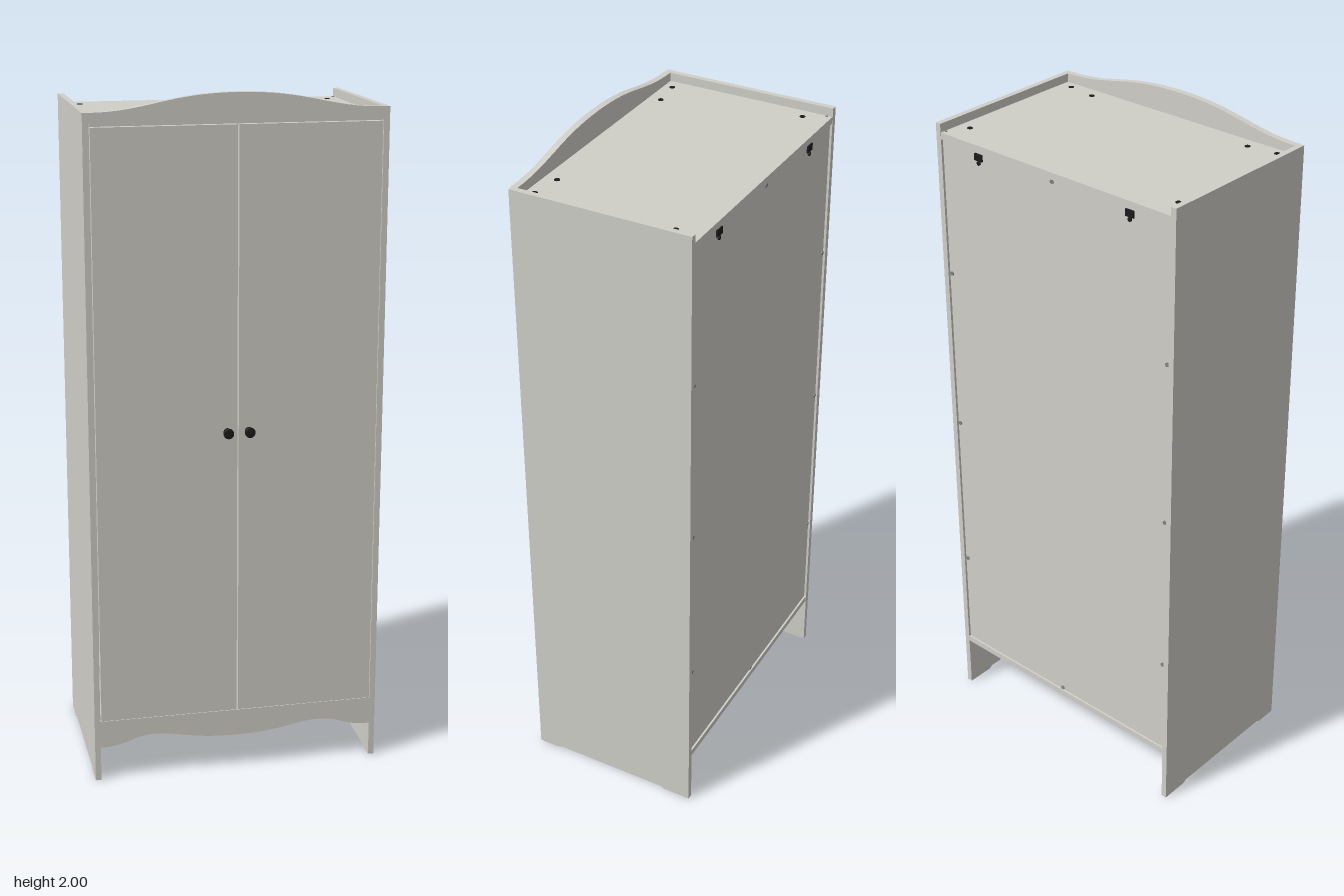
import * as THREE from 'three';

export function createModel() {
  const group = new THREE.Group();
  const body = new THREE.MeshStandardMaterial({ color: 0xd0cfc8 });
  body.name = 'painted wood';
  const dark = new THREE.MeshStandardMaterial({ color: 0x1c1c1c });
  dark.name = 'black fittings';
  const steel = new THREE.MeshStandardMaterial({ color: 0x85847f });
  steel.name = 'grey screws';

  const add = (name, geometry, material, x = 0, y = 0, z = 0) => {
    const mesh = new THREE.Mesh(geometry, material);
    mesh.name = name;
    mesh.position.set(x, y, z);
    group.add(mesh);
    return mesh;
  };
  // Box given by its minimum and maximum corners
  const panel = (name, a, b, material = body) =>
    add(name, new THREE.BoxGeometry(b[0] - a[0], b[1] - a[1], b[2] - a[2]), material,
      (a[0] + b[0]) / 2, (a[1] + b[1]) / 2, (a[2] + b[2]) / 2);
  const extrude = (shape, depth) =>
    new THREE.ExtrudeGeometry(shape, { depth, bevelEnabled: false, curveSegments: 16 });

  // Side panels with a shallow notch between the feet
  const side = new THREE.Shape([
    [-0.28, 0], [-0.195, 0], [-0.185, 0.007], [0.175, 0.007], [0.185, 0],
    [0.251, 0], [0.251, 1.953], [-0.28, 1.953],
  ].map(([z, y]) => new THREE.Vector2(z, y)));
  const sideGeometry = extrude(side, 0.017).rotateY(-Math.PI / 2);
  add('leftSide', sideGeometry, body, 0.426);
  add('rightSide', sideGeometry, body, -0.409);

  // Top, bottom and recessed back
  panel('topPanel', [-0.409, 1.908, -0.279], [0.409, 1.928, 0.233]);
  panel('bottomPanel', [-0.409, 0.168, -0.279], [0.409, 0.187, 0.233]);
  panel('backPanel', [-0.409, 0.187, -0.273], [0.409, 1.908, -0.267]);

  // Wavy crown above the doors
  const crown = new THREE.Shape();
  crown.moveTo(-0.409, 1.917);
  crown.lineTo(0.409, 1.917);
  crown.lineTo(0.409, 1.953);
  crown.bezierCurveTo(0.25, 1.953, 0.2, 2.0, 0, 2.0);
  crown.bezierCurveTo(-0.2, 2.0, -0.25, 1.953, -0.409, 1.953);
  add('crown', extrude(crown, 0.019), body, 0, 0, 0.234);

  // Scalloped apron below the doors
  const apron = new THREE.Shape();
  apron.moveTo(0.409, 0.187);
  apron.lineTo(-0.409, 0.187);
  apron.lineTo(-0.409, 0.104);
  apron.bezierCurveTo(-0.32, 0.104, -0.32, 0.133, -0.25, 0.133);
  apron.bezierCurveTo(-0.18, 0.133, -0.14, 0.106, 0, 0.106);
  apron.bezierCurveTo(0.14, 0.106, 0.18, 0.133, 0.25, 0.133);
  apron.bezierCurveTo(0.32, 0.133, 0.32, 0.104, 0.409, 0.104);
  add('apron', extrude(apron, 0.017), body, 0, 0, 0.234);

  const knob = new THREE.LatheGeometry([
    [0, 0], [0.011, 0], [0.009, 0.006], [0.012, 0.015], [0.015, 0.019],
    [0.015, 0.023], [0.012, 0.025], [0, 0.025],
  ].map(([r, y]) => new THREE.Vector2(r, y)), 24).rotateX(Math.PI / 2);
  const cap = new THREE.CylinderGeometry(0.008, 0.008, 0.003, 16);
  const screw = new THREE.CylinderGeometry(0.006, 0.006, 0.005, 12);
  const backScrew = screw.clone().rotateX(Math.PI / 2);

  for (const s of [-1, 1]) {
    // Doors and knobs
    const xs = [s * 0.002, s * 0.406].sort((a, b) => a - b);
    panel('door', [xs[0], 0.19, 0.236], [xs[1], 1.914, 0.255]);
    add('knob', knob, dark, s * 0.031, 1.05, 0.255);

    // Fastener caps on the top and under the bottom
    for (const [x, z] of [[0.371, -0.205], [0.371, 0.207], [0.281, 0.195]]) {
      add('topCap', cap, dark, s * x, 1.928, z);
      if (x > 0.3) add('bottomCap', cap, dark, s * x, 0.168, z);
    }
    add('cornerScrew', new THREE.CylinderGeometry(0.004, 0.004, 0.003, 10), steel, s * 0.404, 1.928, -0.264);

    // Wall brackets at the top of the back
    panel('wallBracket', [s * 0.27 - 0.014, 1.882, -0.278], [s * 0.27 + 0.014, 1.902, -0.272], dark);
    add('bracketScrew', backScrew, dark, s * 0.27, 1.875, -0.275);

    // Screws down both edges of the back
    for (const y of [0.5, 1.0, 1.5]) add('backScrew', backScrew, steel, s * 0.4, y, -0.274);
  }
  for (const y of [0.194, 1.9]) add('backScrew', backScrew, steel, 0, y, -0.274);

  return group;
}
